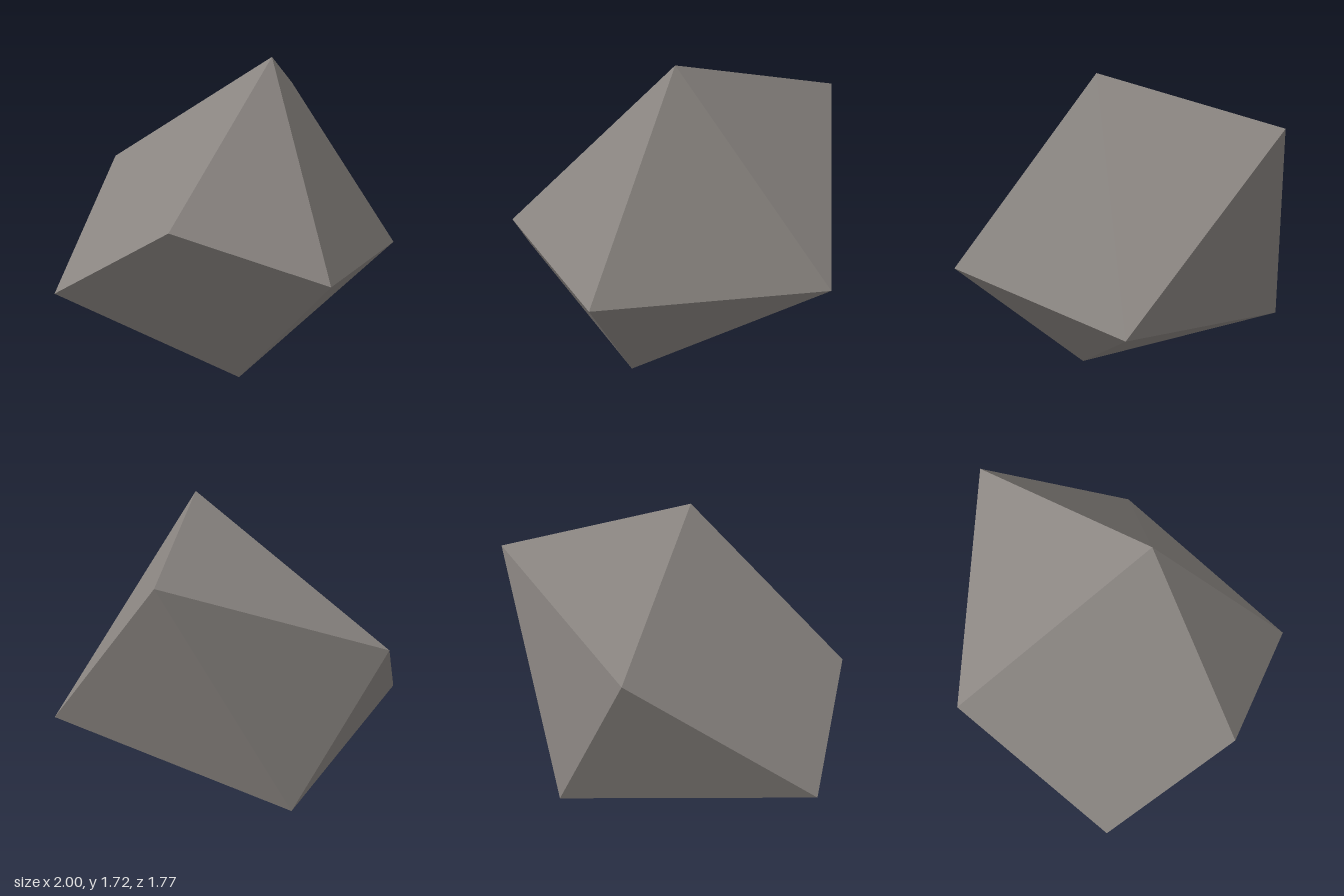
import * as THREE from 'three';
import { ConvexGeometry } from 'three/addons/geometries/ConvexGeometry.js';

export function createModel() {
  const group = new THREE.Group();
  group.name = 'boulder';

  const stone = new THREE.MeshStandardMaterial({ color: 0x8a8581 });
  stone.name = 'warm grey stone';

  // Corners of the faceted rock, from the peak down to the foot
  const corners = [
    [0.15, 1.715, 0.11], // peak
    [0.66, 1.535, -0.76], // back left shoulder
    [-0.47, 1.105, -0.86], // back right shoulder
    [-0.57, 0.91, 0.57], // front right shoulder
    [0.13, 0.66, 0.885], // front
    [0.995, 0.625, -0.015], // left side
    [-1, 0.485, -0.1], // right side
    [0.04, 0.345, -0.89], // back
    [-0.07, 0, 0.2], // foot
  ].map((p) => new THREE.Vector3(...p));

  // The hull has one flat normal per facet
  const rock = new THREE.Mesh(new ConvexGeometry(corners), stone);
  rock.name = 'rock';
  group.add(rock);
  return group;
}
